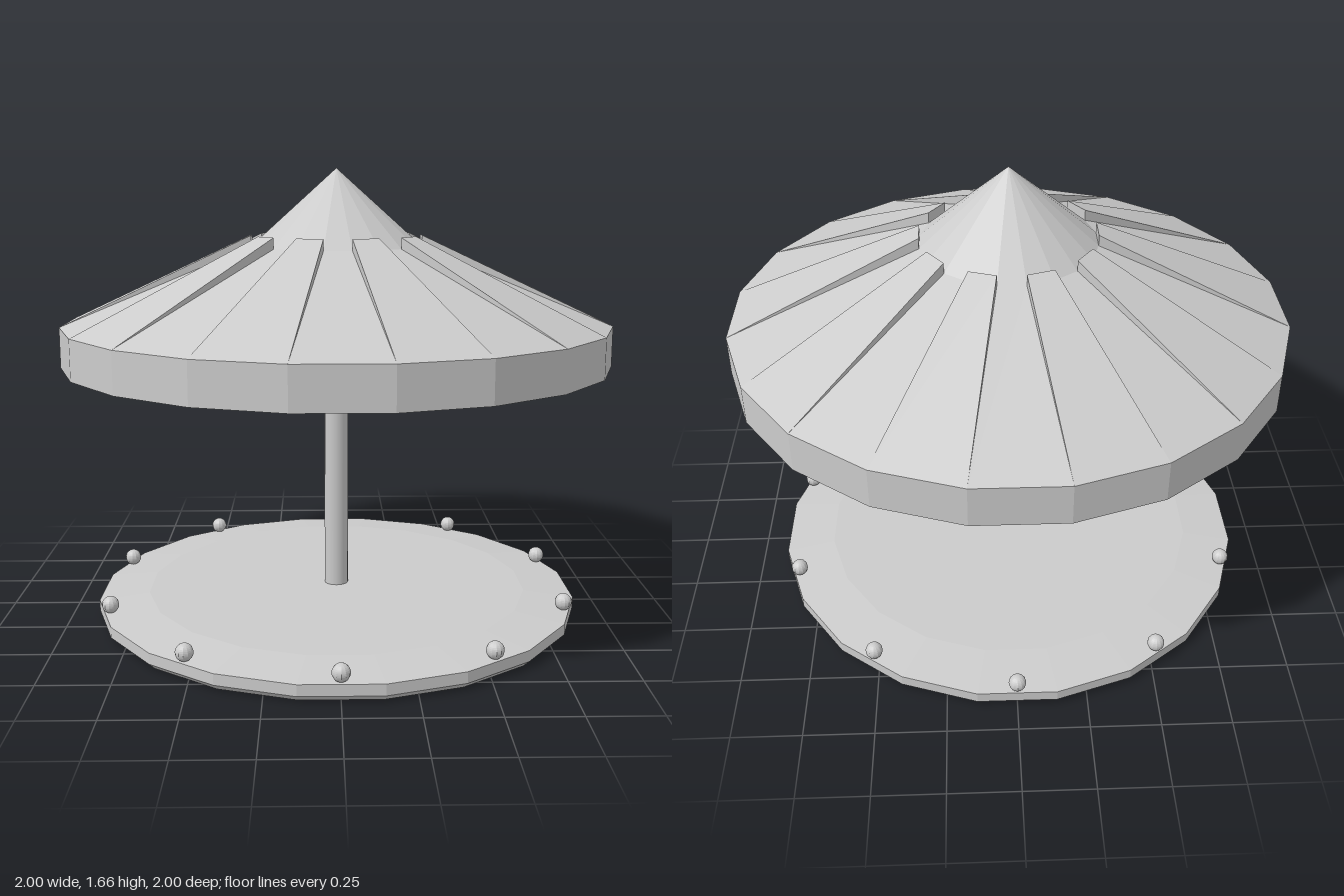
import * as THREE from 'three';

const SIDES = 20;
const STEP = (Math.PI * 2) / SIDES;
const RIM = 1.0125, HUB = 0.317;             // corner radii of the canopy
const EAVE = 1.1, HUB_Y = 1.383, RAISED_Y = 1.423;

const flat = new THREE.MeshStandardMaterial({ color: 0xcccccc, flatShading: true });
const flatOpen = new THREE.MeshStandardMaterial({ color: 0xcccccc, flatShading: true, side: THREE.DoubleSide });
const smooth = new THREE.MeshStandardMaterial({ color: 0xcccccc });

function add(parent, name, geometry, material, y = 0) {
  const mesh = new THREE.Mesh(geometry, material);
  mesh.name = name;
  mesh.position.y = y;
  parent.add(mesh);
  return mesh;
}

const polar = (r, y, angle) => [r * Math.sin(angle), y, r * Math.cos(angle)];

// Faceted solid of revolution whose flats face the axes
function facetedLathe(profile) {
  const points = profile.map(([r, y]) => new THREE.Vector2(r, y));
  return new THREE.LatheGeometry(points, SIDES, STEP / 2);
}

// One roof wedge; raised wedges also get side walls and an inner end wall
function roofPanel(angle, raised) {
  const a = angle - STEP / 2, b = angle + STEP / 2;
  const outA = polar(RIM, EAVE, a), outB = polar(RIM, EAVE, b);
  const lowA = polar(HUB, HUB_Y, a), lowB = polar(HUB, HUB_Y, b);
  const highA = polar(HUB, RAISED_Y, a), highB = polar(HUB, RAISED_Y, b);
  const [inA, inB] = raised ? [highA, highB] : [lowA, lowB];
  const corners = [outA, outB, inB, outA, inB, inA];
  if (raised) {
    corners.push(outA, highA, lowA, outB, lowB, highB);
    corners.push(lowA, highA, highB, lowA, highB, lowB);
  }
  const geometry = new THREE.BufferGeometry();
  geometry.setAttribute('position', new THREE.Float32BufferAttribute(corners.flat(), 3));
  geometry.computeVertexNormals();
  return geometry;
}

export function createModel() {
  const model = new THREE.Group();
  model.name = 'carousel';

  // Round platform: shallow centre socket below, chamfered edge, sloping border
  add(model, 'platform', facetedLathe([
    [0, 0.003], [0.09, 0.003], [0.09, 0], [0.882, 0], [0.906, 0.023],
    [0.906, 0.063], [0.72, 0.082], [0, 0.082],
  ]), flat);

  // Central pole, from the platform up to the canopy ceiling
  const poleBottom = 0.08;
  add(model, 'pole', new THREE.CylinderGeometry(0.045, 0.045, EAVE - poleBottom, 20), smooth, (EAVE + poleBottom) / 2);

  // Lamps around the platform edge
  const lamps = new THREE.Group();
  lamps.name = 'edgeLamps';
  model.add(lamps);
  const lampGeometry = new THREE.SphereGeometry(0.031, 12, 16);
  for (let i = 0; i < 10; i++) {
    const lamp = add(lamps, 'lamp', lampGeometry, flat);
    lamp.position.set(...polar(0.874, 0.094, i * STEP * 2));
  }

  // Canopy: open hanging fascia, recessed ceiling, alternating panels, peak
  const canopy = new THREE.Group();
  canopy.name = 'canopy';
  model.add(canopy);
  add(canopy, 'fascia', facetedLathe([[RIM, 0.954], [RIM, EAVE]]), flatOpen);
  add(canopy, 'ceiling', facetedLathe([[0, EAVE], [RIM, EAVE]]), flatOpen);
  for (let i = 0; i < SIDES; i++) {
    const raised = i % 2 === 1;
    add(canopy, raised ? 'raisedPanel' : 'loweredPanel', roofPanel(i * STEP, raised), flat);
  }
  add(canopy, 'peak', facetedLathe([[HUB, HUB_Y], [0, 1.665]]), flat);

  return model;
}
